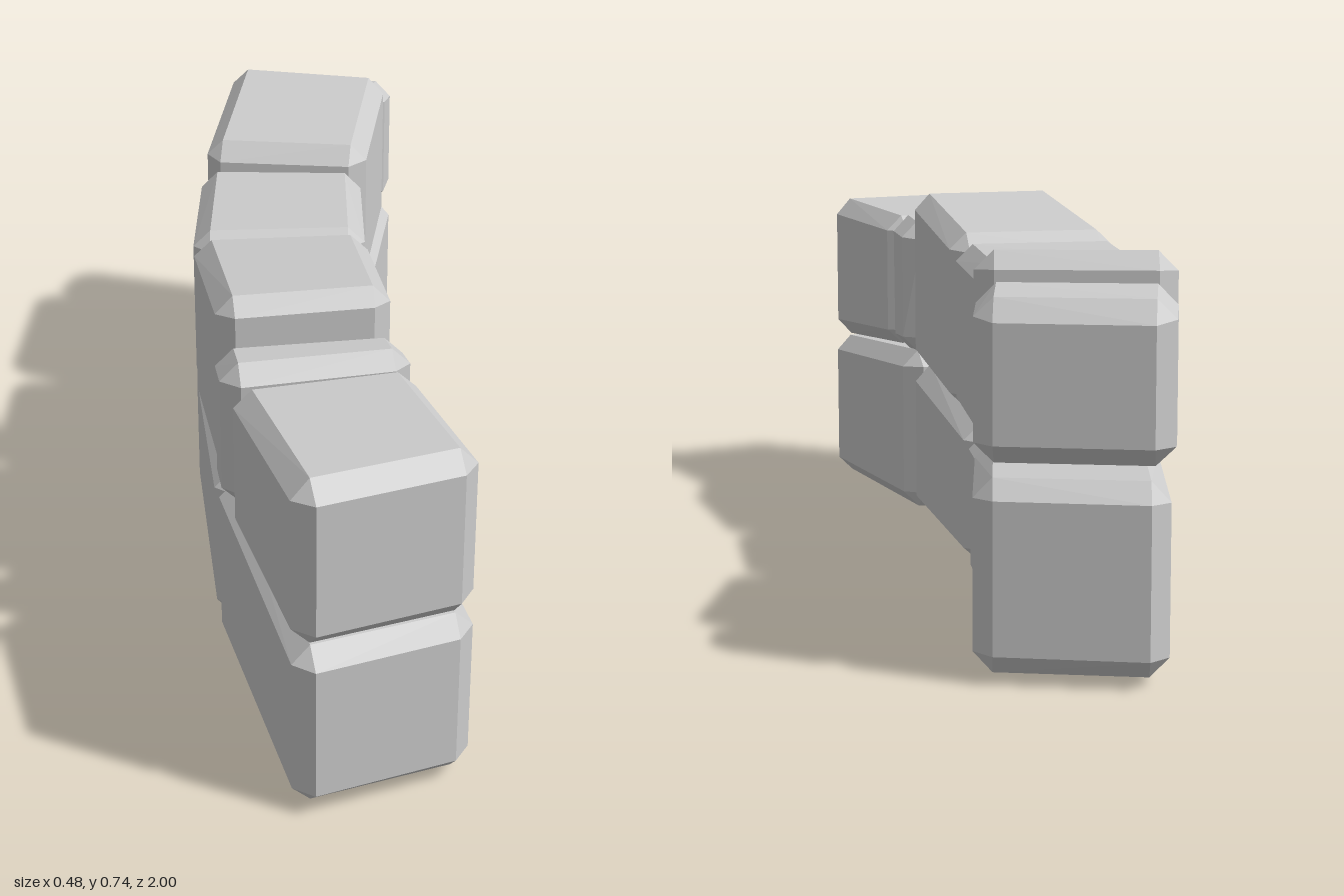
import * as THREE from 'three';
import { ConvexGeometry } from 'three/addons/geometries/ConvexGeometry.js';

const BEVEL = 0.035;

// A stone is a tapered block: each end is given by its plan corners
// (left x,z and right x,z) and its bottom and top height.
// lean shifts the bottom edge of each end along z.
const upperStones = [
  { front: [-0.08, 1.01, 0.245, 0.90, 0.355, 0.69], back: [-0.185, 0.60, 0.15, 0.54, 0.375, 0.67] },
  { front: [-0.195, 0.59, 0.16, 0.53, 0.375, 0.685], back: [-0.21, 0.43, 0.14, 0.405, 0.375, 0.665], lean: [-0.02, 0] },
  { front: [-0.20, 0.43, 0.13, 0.39, 0.36, 0.745], back: [-0.245, -0.005, 0.11, -0.015, 0.31, 0.68] },
  { front: [-0.245, -0.015, 0.11, -0.02, 0.32, 0.67], back: [-0.22, -0.41, 0.125, -0.38, 0.30, 0.66] },
  { front: [-0.215, -0.44, 0.135, -0.39, 0.34, 0.69], back: [-0.135, -0.85, 0.21, -0.76, 0.375, 0.735] },
  { front: [-0.13, -0.86, 0.205, -0.765, 0.38, 0.69], back: [-0.085, -1.01, 0.24, -0.90, 0.385, 0.66] },
];
const lowerStones = [
  { front: [-0.08, 1.01, 0.245, 0.90, 0.015, 0.35], back: [-0.212, 0.42, 0.14, 0.395, 0.015, 0.38] },
  { front: [-0.21, 0.42, 0.13, 0.39, 0.018, 0.36], back: [-0.245, -0.155, 0.11, -0.165, 0.018, 0.305] },
  { front: [-0.24, -0.165, 0.11, -0.16, 0.0, 0.305], back: [-0.22, -0.40, 0.125, -0.375, 0.0, 0.305], lean: [-0.02, -0.015] },
  { front: [-0.22, -0.41, 0.135, -0.38, 0.015, 0.33], back: [-0.08, -1.01, 0.24, -0.90, 0.015, 0.36] },
];

function stoneGeometry({ front, back, lean = [0, 0] }) {
  // Point inside the block; u left to right, v bottom to top, w back to front
  const endPoint = ([lx, lz, rx, rz, y0, y1], shift, u, v) => new THREE.Vector3(
    lx + (rx - lx) * u, y0 + (y1 - y0) * v, lz + (rz - lz) * u + shift * (1 - v));
  const at = (u, v, w) => endPoint(back, lean[1], u, v).lerp(endPoint(front, lean[0], u, v), w);
  const inset = [
    at(0, 0.5, 0.5).distanceTo(at(1, 0.5, 0.5)),
    at(0.5, 0, 0.5).distanceTo(at(0.5, 1, 0.5)),
    at(0.5, 0.5, 0).distanceTo(at(0.5, 0.5, 1)),
  ].map((length) => BEVEL / length);

  // Every corner is cut into three points, one on each face that meets there
  const points = [];
  for (let corner = 0; corner < 8; corner++) {
    for (let face = 0; face < 3; face++) {
      const uvw = [0, 1, 2].map((axis) => {
        const d = axis === face ? 0 : inset[axis];
        return (corner >> axis) & 1 ? 1 - d : d;
      });
      points.push(at(...uvw));
    }
  }
  return new ConvexGeometry(points);
}

export function createModel() {
  const wall = new THREE.Group();
  wall.name = 'curvedStoneWall';
  const stone = new THREE.MeshStandardMaterial({ color: 0xcccccc, flatShading: true });

  const addCourse = (name, stones) => {
    const course = new THREE.Group();
    course.name = `${name}Course`;
    stones.forEach((spec, i) => {
      const mesh = new THREE.Mesh(stoneGeometry(spec), stone);
      mesh.name = `${name}Stone${i + 1}`;
      course.add(mesh);
    });
    wall.add(course);
  };
  addCourse('lower', lowerStones);
  addCourse('upper', upperStones);
  return wall;
}
